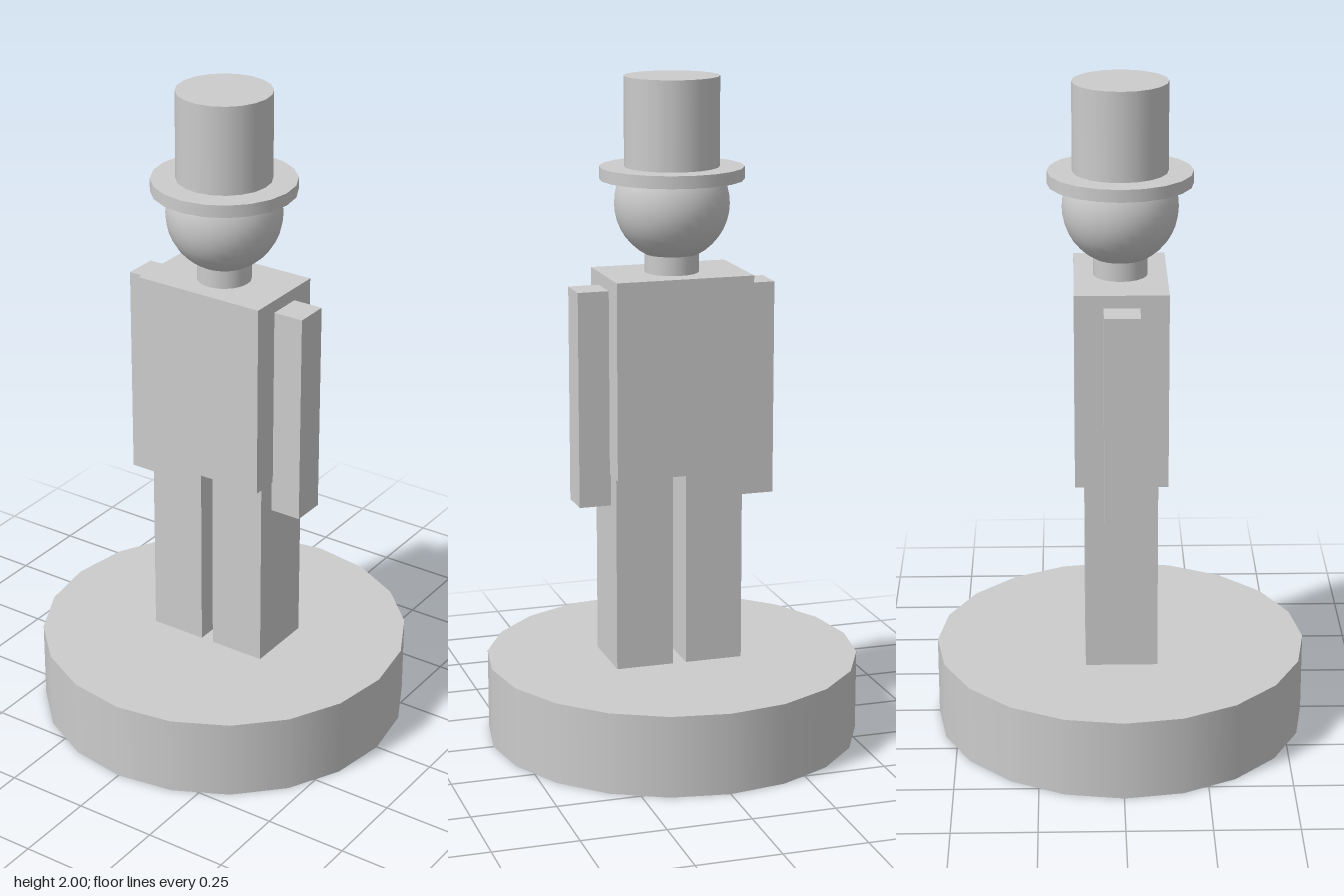
import * as THREE from 'three';

const SIDES = 20;

export function createModel() {
  const model = new THREE.Group();
  const material = new THREE.MeshStandardMaterial({ color: 0xcccccc });

  const add = (name, geometry, x, y, z) => {
    const mesh = new THREE.Mesh(geometry, material);
    mesh.name = name;
    mesh.position.set(x, y, z);
    model.add(mesh);
  };

  // Upright cylinder and box, given by their bottom and top heights
  const disc = (name, radius, y0, y1) =>
    add(name, new THREE.CylinderGeometry(radius, radius, y1 - y0, SIDES), 0, (y0 + y1) / 2, 0);
  const block = (name, width, depth, y0, y1, x = 0) =>
    add(name, new THREE.BoxGeometry(width, y1 - y0, depth), x, (y0 + y1) / 2, 0);

  // Round stand
  disc('base', 0.564, 0, 0.245);

  // Legs, set slightly towards the left side
  block('rightLeg', 0.175, 0.216, 0.2, 0.835, -0.098);
  block('leftLeg', 0.175, 0.216, 0.2, 0.835, 0.118);

  // Body and arms
  block('torso', 0.418, 0.274, 0.835, 1.425);
  for (const side of [-1, 1]) {
    block(side < 0 ? 'rightArm' : 'leftArm', 0.103, 0.105, 0.74, 1.387, side * 0.251);
  }

  // Neck and head
  disc('neck', 0.08, 1.4, 1.55);
  add('head', new THREE.SphereGeometry(0.17, 32, 20), 0, 1.63, 0);

  // Top hat
  disc('hatBrim', 0.213, 1.7, 1.737);
  disc('hatCrown', 0.14, 1.72, 2);

  return model;
}
